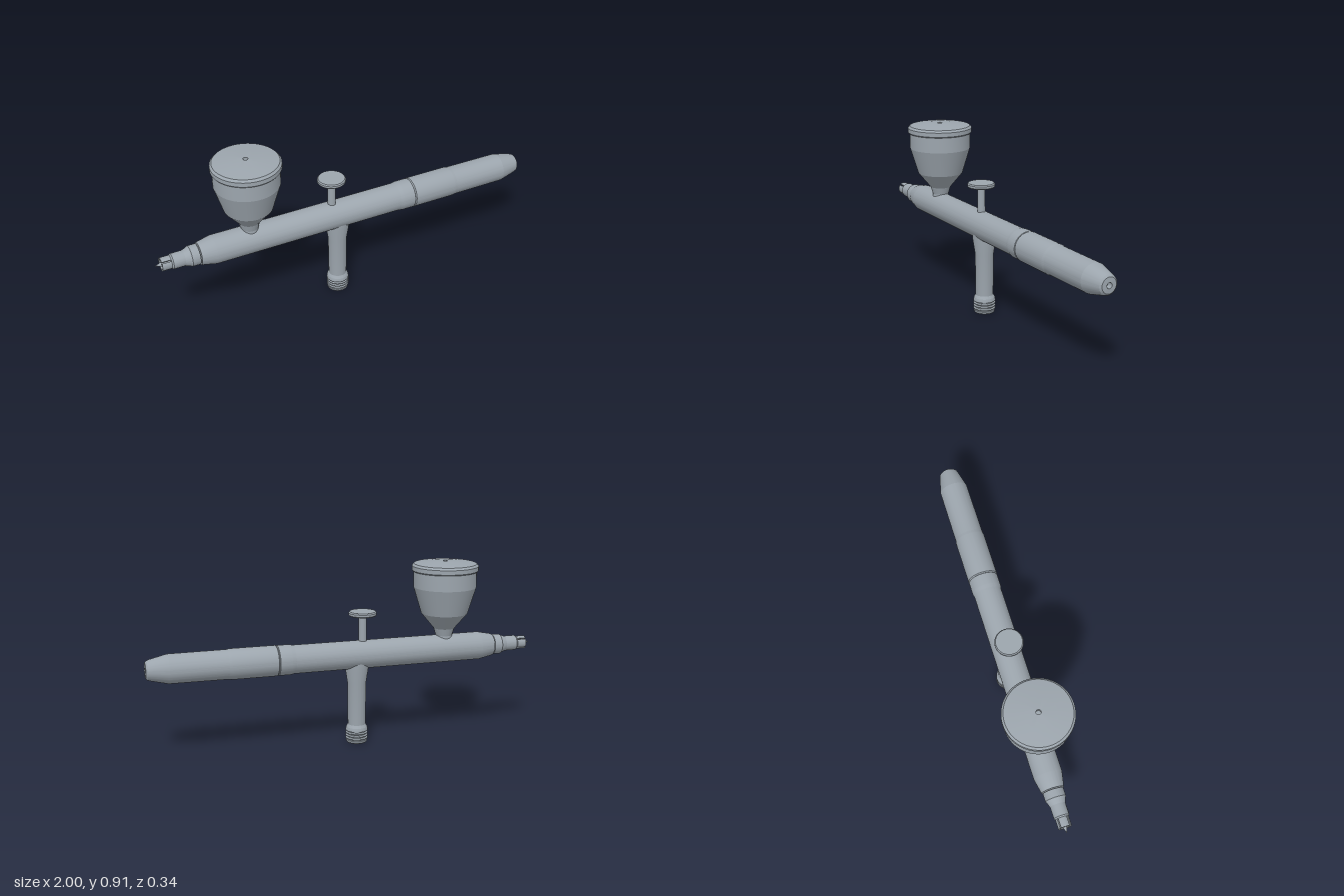
import * as THREE from 'three';
import { toCreasedNormals } from 'three/addons/utils/BufferGeometryUtils.js';

const AXIS_Y = 0.455;

export function createModel() {
  const group = new THREE.Group();
  const metal = new THREE.MeshStandardMaterial({ color: 0x9ca5ad });
  metal.name = 'brushed steel';

  // Turned part: profile of [radius, height], listed from bottom to top on the outside
  function turned(name, profile, x, y, start = 0, sweep = Math.PI * 2) {
    const pts = profile.map(([r, h]) => new THREE.Vector2(r, h));
    const segments = Math.max(6, Math.round(56 * sweep / (Math.PI * 2)));
    const geo = toCreasedNormals(new THREE.LatheGeometry(pts, segments, start, sweep), 0.2);
    const mesh = new THREE.Mesh(geo, metal);
    mesh.name = name;
    mesh.position.set(x, y, 0);
    group.add(mesh);
    return mesh;
  }

  // Turned part lying along the barrel axis: profile of [radius, x]
  function barrelPart(name, profile, start, sweep) {
    const mesh = turned(name, profile, 0, AXIS_Y, start, sweep);
    mesh.rotation.z = -Math.PI / 2;
    return mesh;
  }

  // Barrel, from nozzle seat to the rear collar
  barrelPart('barrel', [
    [0, -0.785], [0.055, -0.785], [0.058, -0.775], [0.071, -0.71], [0.071, 0.275],
    [0.075, 0.295], [0.075, 0.355], [0.07, 0.358], [0, 0.358],
  ]);

  // Rear handle with a recessed hole in its end
  barrelPart('handle', [
    [0, 0.358], [0.07, 0.358], [0.076, 0.363], [0.076, 0.59], [0.073, 0.605], [0.072, 0.89],
    [0.052, 0.975], [0.047, 0.99], [0.038, 0.998], [0.014, 1], [0.014, 0.97], [0, 0.97],
  ]);

  // Stepped nozzle cap, hollow at the front
  barrelPart('nozzleCap', [
    [0, -0.89], [0.024, -0.89], [0.024, -0.925], [0.033, -0.925], [0.038, -0.918], [0.038, -0.86],
    [0.047, -0.835], [0.051, -0.83], [0.051, -0.79], [0, -0.79],
  ]);

  // Crown prongs around the needle
  for (let i = 0; i < 4; i++) {
    const gap = 0.22;
    barrelPart('crownProng', [
      [0.024, -0.92], [0.024, -0.972], [0.033, -0.972], [0.033, -0.92],
    ], i * Math.PI / 2 + Math.PI / 4 + gap / 2, Math.PI / 2 - gap);
    // Flat side walls of each prong
    for (const side of [-1, 1]) {
      const wall = new THREE.Mesh(new THREE.BoxGeometry(0.052, 0.009, 0.001), metal);
      const a = i * Math.PI / 2 + Math.PI / 4 + side * (gap / 2 + 0.01);
      wall.name = 'prongWall';
      wall.position.set(-0.946, AXIS_Y + Math.cos(a) * 0.0285, Math.sin(a) * 0.0285);
      wall.rotation.x = a;
      group.add(wall);
    }
  }

  // Nozzle and needle
  barrelPart('needle', [[0, -1], [0.004, -0.99], [0.012, -0.965], [0.016, -0.93], [0.016, -0.88]]);

  // Paint cup
  turned('cup', [
    [0, 0.48], [0.045, 0.48], [0.042, 0.525], [0.053, 0.562], [0.118, 0.64],
    [0.159, 0.775], [0.159, 0.86], [0, 0.86],
  ], -0.52, 0);

  // Domed lid with a small vent
  turned('cupLid', [
    [0, 0.856], [0.164, 0.856], [0.168, 0.861], [0.168, 0.883], [0.158, 0.894], [0.15, 0.895],
    [0.08, 0.903], [0.012, 0.907], [0.012, 0.89], [0, 0.89],
  ], -0.52, 0);

  // Trigger stem and finger pad
  turned('triggerStem', [[0.02, 0.48], [0.02, 0.655]], -0.083, 0);
  turned('triggerPad', [
    [0, 0.652], [0.065, 0.652], [0.07, 0.657], [0.07, 0.668], [0.065, 0.674], [0, 0.674],
  ], -0.083, 0);

  // Air valve stem, flaring into the barrel
  turned('airStem', [
    [0.044, 0.07], [0.045, 0.095], [0.047, 0.31], [0.06, 0.395], [0.06, 0.44],
  ], -0.053, 0);

  // Threaded hose fitting with a bore
  const thread = [[0, 0.04], [0.026, 0.04], [0.026, 0], [0.05, 0], [0.053, 0.004], [0.053, 0.012]];
  for (let i = 0; i < 4; i++) {
    const y = 0.014 + i * 0.014;
    thread.push([0.049, y], [0.049, y + 0.003], [0.056, y + 0.006], [0.056, y + 0.009]);
  }
  thread.push([0.055, 0.072], [0.053, 0.08], [0.045, 0.094]);
  turned('hoseThread', thread, -0.053, 0);

  return group;
}
